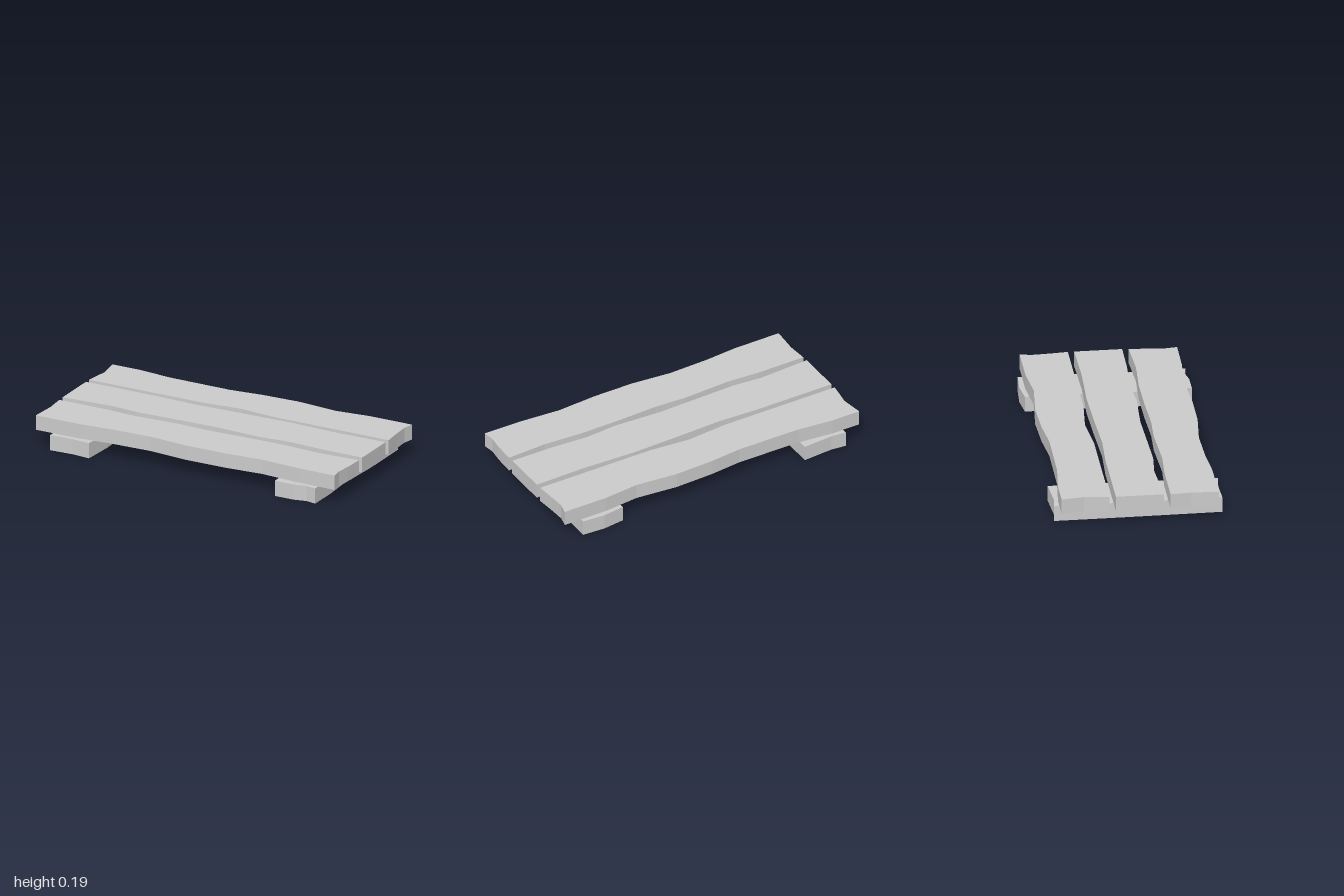
import * as THREE from 'three';

const material = new THREE.MeshStandardMaterial({ color: 0xcccccc, flatShading: true });

// Flat board: an outline of [x, z] points raised from y0 to y1
function board(name, outline, y0, y1) {
  const shape = new THREE.Shape(outline.map(([x, z]) => new THREE.Vector2(x, -z)));
  const geometry = new THREE.ExtrudeGeometry(shape, { depth: y1 - y0, bevelEnabled: false });
  geometry.rotateX(-Math.PI / 2).translate(0, y0, 0);
  const mesh = new THREE.Mesh(geometry, material);
  mesh.name = name;
  return mesh;
}

// Joins the four rough edges of a board, going round from the back left corner
const ring = (back, right, front, left) => [...back, ...right, ...[...front].reverse(), ...left];

export function createModel() {
  const group = new THREE.Group();
  group.name = 'woodenPlatform';

  // Three long planks with hand-hewn edges
  group.add(board('backPlank', ring(
    [[-1, -0.465], [-0.82, -0.465], [-0.6, -0.443], [-0.4, -0.441], [-0.2, -0.44], [0, -0.461], [0.24, -0.469], [0.5, -0.445], [0.72, -0.467], [1, -0.467]],
    [[0.985, -0.4], [0.99, -0.3]],
    [[-1, -0.183], [-0.25, -0.183], [0, -0.205], [0.25, -0.183], [1, -0.183]],
    [[-0.99, -0.26], [-0.98, -0.33], [-0.99, -0.4]]), 0.095, 0.188));

  group.add(board('middlePlank', ring(
    [[-1, -0.146], [-0.5, -0.146], [-0.25, -0.135], [0.05, -0.146], [0.35, -0.153], [0.68, -0.141], [1, -0.146]],
    [],
    [[-1, 0.137], [-0.9, 0.132], [-0.68, 0.119], [-0.5, 0.135], [-0.25, 0.128], [0, 0.121], [0.3, 0.136], [0.5, 0.121], [0.75, 0.135], [1, 0.137]],
    []), 0.095, 0.188));

  group.add(board('frontPlank', ring(
    [[-1, 0.176], [-0.7, 0.176], [-0.5, 0.188], [-0.2, 0.175], [0, 0.184], [0.25, 0.175], [0.5, 0.173], [0.75, 0.187], [1, 0.175]],
    [[0.995, 0.3], [0.985, 0.39]],
    [[-1, 0.46], [-0.7, 0.459], [-0.5, 0.442], [-0.25, 0.435], [0, 0.458], [0.25, 0.458], [0.5, 0.441], [0.75, 0.458], [0.995, 0.46]],
    [[-0.99, 0.3]]), 0.095, 0.185));

  // Two crosswise bearers underneath
  group.add(board('rightBearer', ring(
    [[-0.89, -0.497], [-0.8, -0.487], [-0.61, -0.5]],
    [[-0.61, -0.17], [-0.617, 0.13], [-0.612, 0.3]],
    [[-0.885, 0.495], [-0.74, 0.489], [-0.623, 0.5]],
    [[-0.888, 0.15], [-0.89, -0.17]]), 0, 0.095));

  group.add(board('leftBearer', ring(
    [[0.615, -0.483], [0.75, -0.5], [0.89, -0.492]],
    [[0.89, -0.17], [0.875, 0.15], [0.885, 0.3]],
    [[0.618, 0.5], [0.74, 0.5], [0.82, 0.483], [0.885, 0.495]],
    [[0.605, 0.15], [0.615, -0.17]]), 0, 0.095));

  return group;
}
